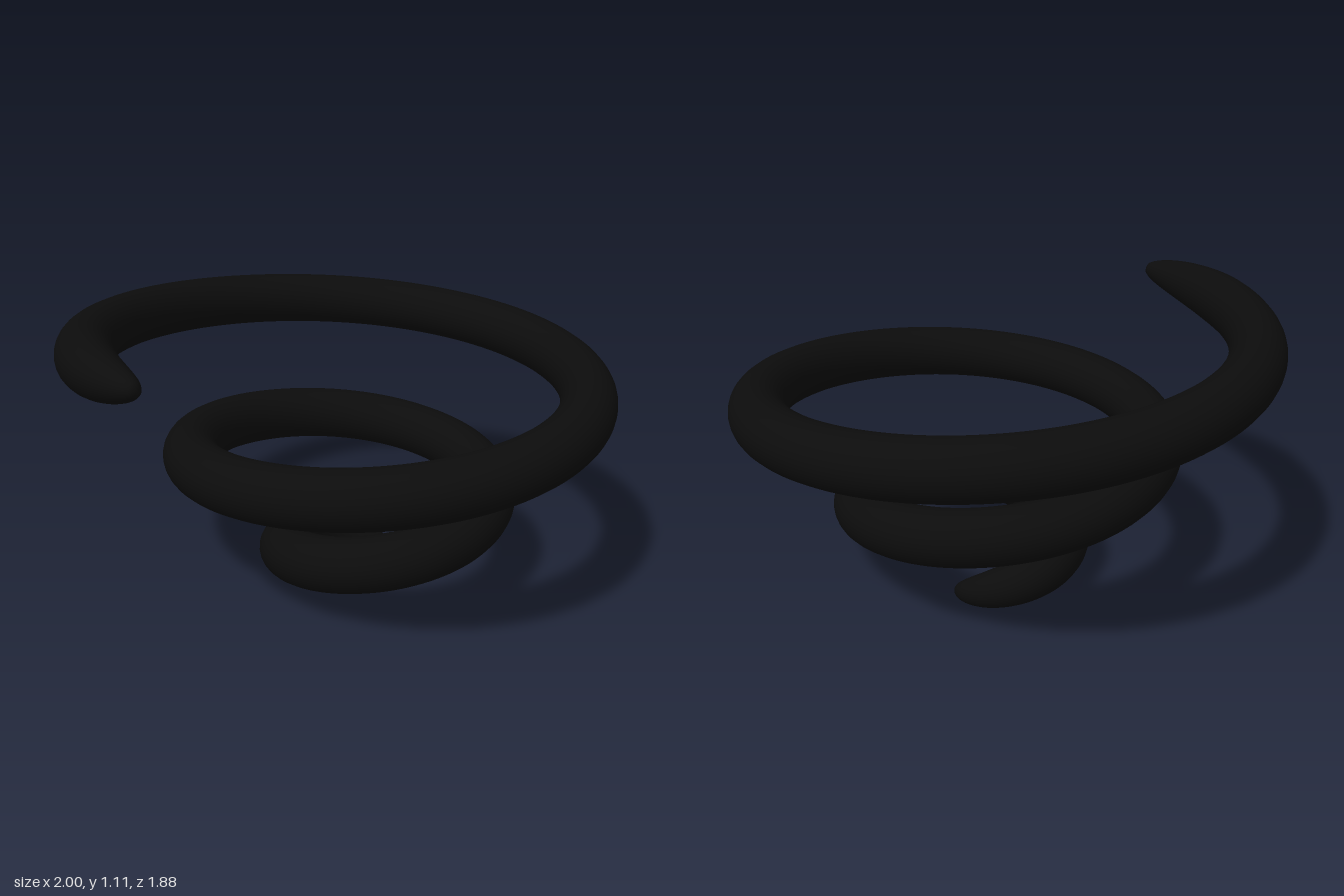
import * as THREE from 'three';
import { mergeVertices } from 'three/addons/utils/BufferGeometryUtils.js';

const TURNS = 2.5, RADIUS = 0.1, TAPER = 0.55;
const RINGS = 600, SIDES = 28;

// Rising spiral that widens evenly with each turn
class SpiralCurve extends THREE.Curve {
  getPoint(t, target = new THREE.Vector3()) {
    const turn = t * TURNS;
    const angle = turn * Math.PI * 2;
    const r = 0.17 + 0.335 * turn;
    return target.set(
      0.056 + r * Math.cos(angle),
      0.027 + 0.405 * turn,
      0.08 - r * Math.sin(angle)
    );
  }
}

// Thickness along the coil: full in the middle, rounded to a point at both ends
function thickness(distanceToEnd) {
  const s = Math.min(1, distanceToEnd / TAPER);
  return Math.pow(Math.max(0, Math.sin(s * Math.PI / 2)), 0.45);
}

function taperedTube(curve) {
  curve.arcLengthDivisions = 1000;
  const tube = new THREE.TubeGeometry(curve, RINGS, RADIUS, SIDES, false);
  const pos = tube.attributes.position;
  const length = curve.getLength();
  const v = new THREE.Vector3();
  for (let i = 0; i <= RINGS; i++) {
    const u = i / RINGS;
    const centre = curve.getPointAt(u);
    const k = thickness(Math.min(u, 1 - u) * length);
    for (let j = 0; j <= SIDES; j++) {
      const n = i * (SIDES + 1) + j;
      v.fromBufferAttribute(pos, n).sub(centre).multiplyScalar(k).add(centre);
      pos.setXYZ(n, v.x, v.y, v.z);
    }
  }
  // Weld the seam and tips for smooth shading
  tube.deleteAttribute('normal');
  tube.deleteAttribute('uv');
  const welded = mergeVertices(tube, 1e-5);
  welded.computeVertexNormals();
  return welded;
}

export function createModel() {
  const group = new THREE.Group();
  group.name = 'spiral';
  const coil = new THREE.Mesh(
    taperedTube(new SpiralCurve()),
    new THREE.MeshStandardMaterial({ color: 0x0c0c0c })
  );
  coil.name = 'coil';
  group.add(coil);
  return group;
}
